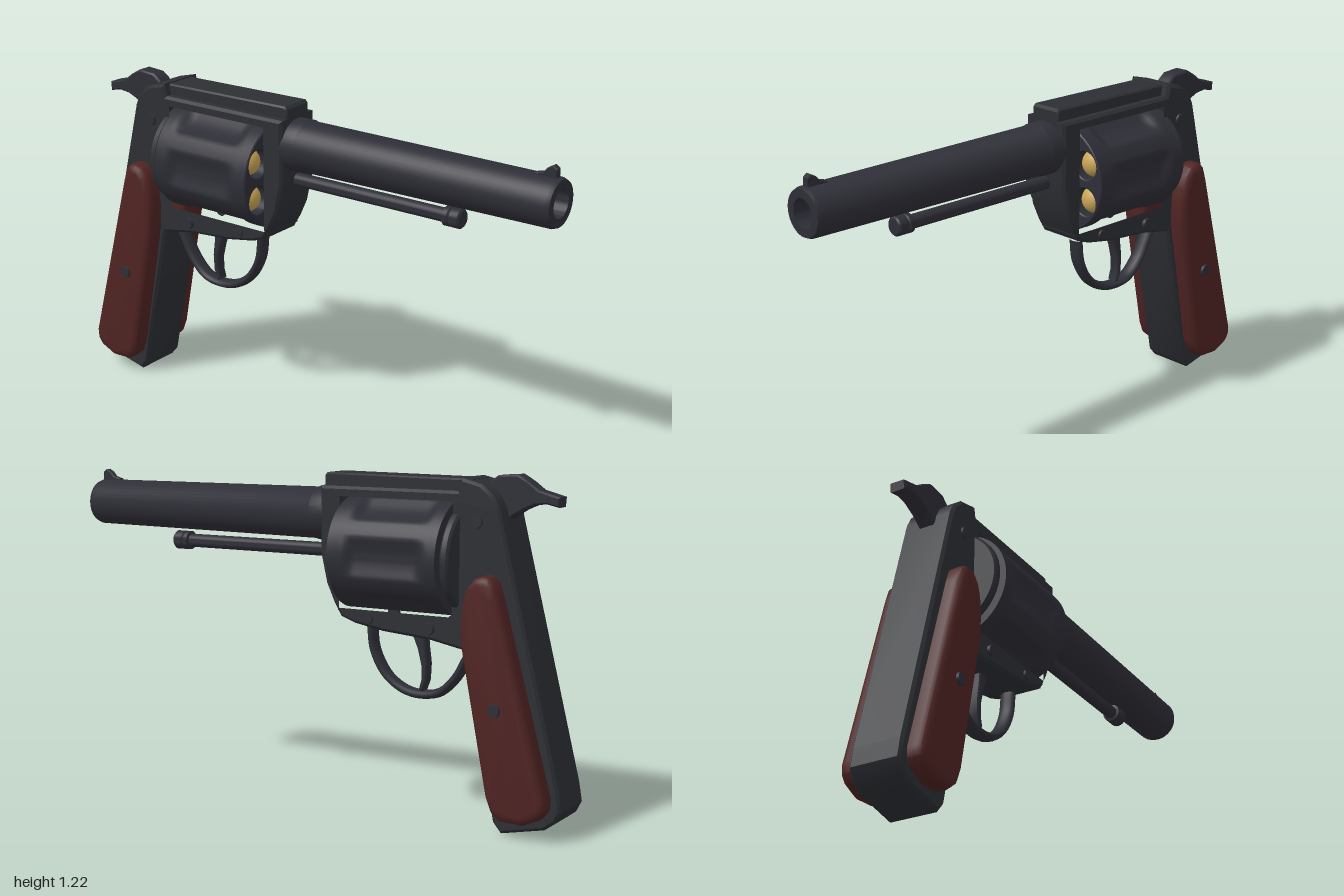
import * as THREE from 'three';
import { toCreasedNormals } from 'three/addons/utils/BufferGeometryUtils.js';

const material = (name, color) => {
  const m = new THREE.MeshStandardMaterial({ color });
  m.name = name;
  return m;
};

export function createModel() {
  const model = new THREE.Group();
  const steel = material('blued steel', 0x2e2e37);
  const frameSteel = material('frame steel', 0x2d2f34);
  const wood = material('red wood', 0x502423);
  const brass = material('brass', 0xc9a456);

  const add = (name, geometry, mat, x = 0, y = 0, z = 0) => {
    const mesh = new THREE.Mesh(geometry, mat);
    mesh.name = name;
    mesh.position.set(x, y, z);
    model.add(mesh);
    return mesh;
  };

  // Side profile given as [z, y], extruded across x and centred on x = 0
  const shapeOf = (pts) => new THREE.Shape(pts.map(([z, y]) => new THREE.Vector2(z, y)));
  const plate = (shape, half, bevel, segments = 1) => {
    const g = new THREE.ExtrudeGeometry(shape, {
      depth: 2 * (half - bevel), bevelEnabled: true, bevelThickness: bevel,
      bevelSize: bevel, bevelOffset: -bevel, bevelSegments: segments, curveSegments: 8,
    });
    g.translate(0, 0, bevel - half);
    g.rotateY(-Math.PI / 2);
    return toCreasedNormals(g, 0.6);
  };
  // Turned part along z, profile given as [radius, z] from back to front
  const turned = (pts, sides = 40) => {
    const g = new THREE.LatheGeometry(pts.map(([r, z]) => new THREE.Vector2(r, z)), sides);
    g.rotateX(Math.PI / 2);
    return toCreasedNormals(g, 0.6);
  };
  // Round bar following [z, y] points, widened across x
  const bar = (pts, radius, widen) => {
    const curve = new THREE.CatmullRomCurve3(pts.map(([z, y]) => new THREE.Vector3(0, y, z)));
    return new THREE.TubeGeometry(curve, 40, radius, 12).scale(widen, 1, 1);
  };

  // Frame with cylinder window and grip core
  const frame = shapeOf([
    [-0.06, 1.165], [-0.06, 0.93], [-0.085, 0.82], [-0.115, 0.755], [-0.145, 0.705], [-0.2, 0.685],
    [-0.315, 0.665], [-0.5, 0.65], [-0.627, 0.626], [-0.75, 0.04], [-0.78, 0.005], [-0.94, 0.04],
    [-0.98, 0.07], [-1, 0.11], [-0.988, 0.18], [-0.755, 1.11], [-0.735, 1.15], [-0.69, 1.19],
    [-0.61, 1.21], [-0.6, 1.165],
  ]);
  frame.holes.push(new THREE.Path([[-0.13, 0.725], [-0.595, 0.725], [-0.595, 1.14], [-0.13, 1.14]]
    .map(([z, y]) => new THREE.Vector2(z, y))));
  add('frame', plate(frame, 0.097, 0.01), frameSteel);
  add('topStrap', plate(shapeOf([[-0.06, 1.15], [-0.64, 1.15], [-0.64, 1.205], [-0.07, 1.21], [-0.06, 1.2]]),
    0.065, 0.006), frameSteel);

  // Barrel with hollow muzzle and rear collar
  add('barrel', turned([
    [0, -0.08], [0.097, -0.08], [0.097, -0.01], [0.093, -0.004], [0.086, 0.985], [0.08, 1],
    [0.05, 1], [0.05, 0.9], [0, 0.9],
  ]), steel, 0, 1.06);
  add('frontSight', plate(shapeOf([
    [0.985, 1.13], [0.985, 1.175], [0.97, 1.186], [0.95, 1.175], [0.935, 1.158], [0.905, 1.15], [0.905, 1.13],
  ]), 0.013, 0.003), steel);

  // Ejector rod with a ringed tip
  add('ejectorRod', turned([
    [0, -0.1], [0.025, -0.1], [0.025, 0.57], [0.035, 0.573], [0.035, 0.59], [0.031, 0.595], [0.035, 0.6],
    [0.035, 0.632], [0.029, 0.638], [0, 0.638],
  ], 24), steel, 0, 0.928);

  // Rotating cylinder: fluted body plus a drilled front section
  const axisY = 0.93;
  const body = new THREE.CylinderGeometry(0.2, 0.2, 0.375, 120, 30);
  const p = body.attributes.position;
  for (let i = 0; i < p.count; i++) {
    const r = Math.hypot(p.getX(i), p.getZ(i));
    if (r < 0.1) continue;
    const a = Math.atan2(p.getZ(i), p.getX(i));
    const step = Math.PI / 3;
    const off = (a - Math.round(a / step) * step) / 0.36;
    const along = THREE.MathUtils.smoothstep(0.165 - Math.abs(p.getY(i) - 0.015), 0, 0.05);
    const k = (r - 0.026 * Math.max(0, 1 - off * off) * along) / r;
    p.setX(i, p.getX(i) * k);
    p.setZ(i, p.getZ(i) * k);
  }
  body.rotateX(Math.PI / 2);
  add('cylinderBody', toCreasedNormals(body, 0.6), steel, 0, axisY, -0.3825);

  const drilled = new THREE.Shape().absarc(0, 0, 0.2, 0, Math.PI * 2);
  for (let i = 0; i < 6; i++) {
    const a = Math.PI / 6 + i * Math.PI / 3;
    const x = Math.cos(a) * 0.137, y = Math.sin(a) * 0.137;
    drilled.holes.push(new THREE.Path().absarc(x, y, 0.052, 0, Math.PI * 2, true));
    const bullet = add('bullet', new THREE.SphereGeometry(0.05, 24, 16), brass, x, axisY + y, -0.197);
    bullet.scale.z = 0.9;
  }
  const front = new THREE.ExtrudeGeometry(drilled, {
    depth: 0.047, bevelThickness: 0.004, bevelSize: 0.004, bevelOffset: -0.004, bevelSegments: 1, curveSegments: 32,
  });
  add('cylinderFront', toCreasedNormals(front, 0.6), steel, 0, axisY, -0.196);
  add('recoilShield', turned([
    [0, -0.612], [0.178, -0.612], [0.186, -0.604], [0.186, -0.586], [0.178, -0.578], [0, -0.578],
  ], 48), frameSteel, 0, axisY);
  add('cylinderPin', turned([[0.03, -0.6], [0.03, -0.1]], 20), steel, 0, axisY);

  // Hammer with curved spur
  add('hammer', plate(shapeOf([
    [-0.65, 1.1], [-0.675, 1.175], [-0.69, 1.198], [-0.718, 1.218], [-0.79, 1.223], [-0.83, 1.2], [-0.868, 1.172],
    [-0.943, 1.152], [-0.94, 1.118], [-0.895, 1.128], [-0.852, 1.123], [-0.81, 1.105], [-0.77, 1.08],
    [-0.73, 1.03], [-0.68, 1.0],
  ]), 0.032, 0.006), steel);

  // Trigger and guard
  add('triggerGuard', bar([
    [-0.222, 0.67], [-0.235, 0.58], [-0.285, 0.495], [-0.355, 0.449], [-0.43, 0.437], [-0.5, 0.453],
    [-0.56, 0.51], [-0.6, 0.58], [-0.63, 0.64],
  ], 0.016, 1.9), steel);
  add('trigger', plate(shapeOf([
    [-0.385, 0.67], [-0.415, 0.6], [-0.43, 0.54], [-0.43, 0.49], [-0.42, 0.455], [-0.435, 0.45],
    [-0.45, 0.49], [-0.453, 0.55], [-0.445, 0.61], [-0.44, 0.67],
  ]), 0.022, 0.005), steel);

  // Grip panels and screws, both sides
  const grip = plate(shapeOf([
    [-0.72, 0.89], [-0.69, 0.88], [-0.665, 0.85], [-0.65, 0.8], [-0.643, 0.74], [-0.645, 0.65], [-0.745, 0.14],
    [-0.765, 0.09], [-0.8, 0.062], [-0.88, 0.058], [-0.94, 0.085], [-0.962, 0.115], [-0.965, 0.15],
    [-0.782, 0.82], [-0.765, 0.87], [-0.745, 0.888],
  ]), 0.06, 0.028, 3);
  const screw = (r, h) => new THREE.CylinderGeometry(r * 0.8, r, h, 16);
  for (const side of [-1, 1]) {
    add('gripPanel', grip, wood, side * 0.101);
    const screws = [
      ['gripScrew', 0.026, 0.159, 0.445, -0.78],
      ['hammerScrew', 0.026, 0.093, 1.065, -0.675],
      ['rearFrameScrew', 0.024, 0.097, 0.69, -0.5],
      ['frontFrameScrew', 0.022, 0.093, 0.705, -0.26],
    ];
    for (const [name, r, x, y, z] of screws) {
      add(name, screw(r, 0.022), steel, side * x, y, z).rotation.z = -side * Math.PI / 2;
    }
  }
  return model;
}
